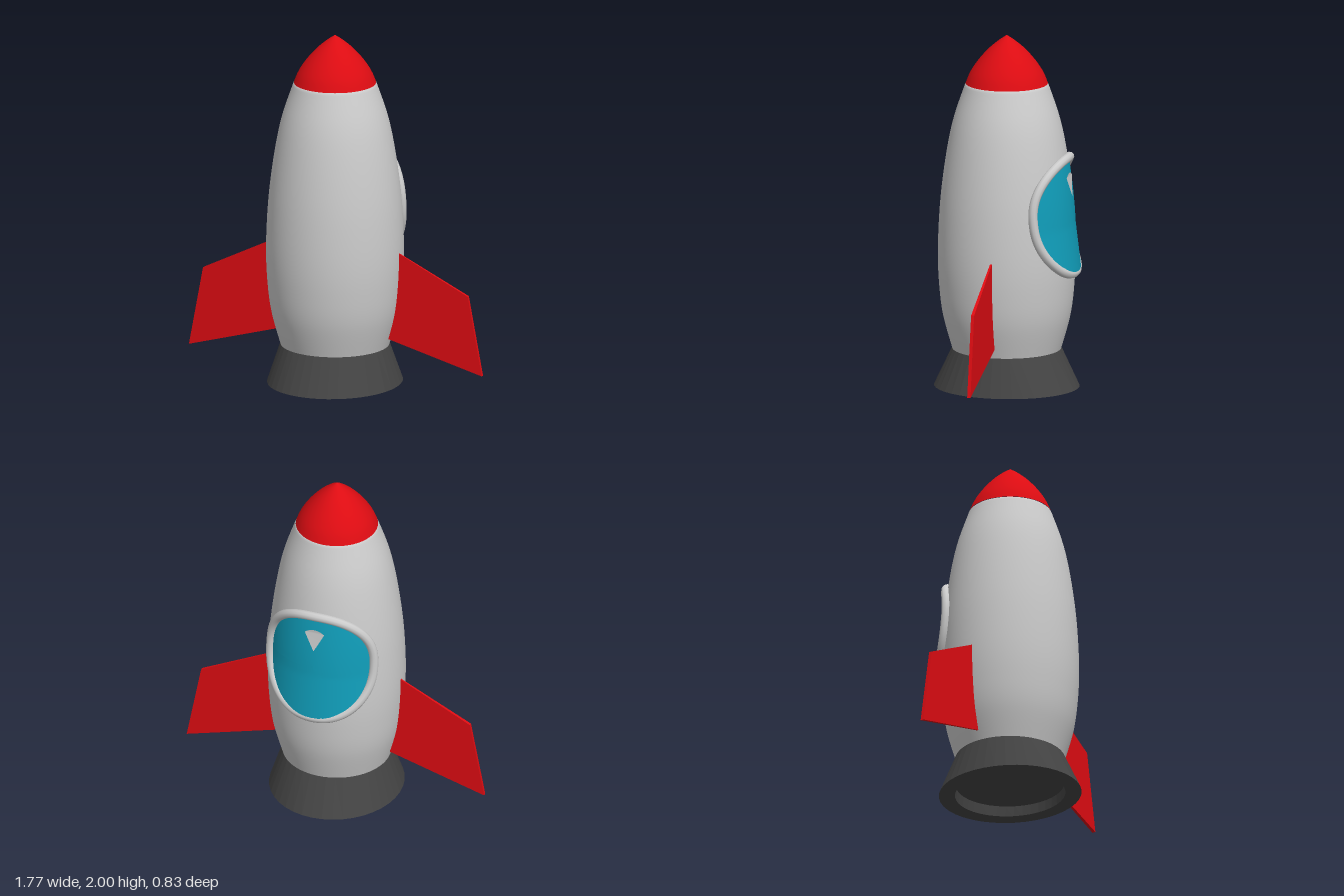
import * as THREE from 'three';

const V2 = (x, y) => new THREE.Vector2(x, y);
const paint = (color, extra = {}) => new THREE.MeshStandardMaterial({ color, ...extra });

// Smooth hull outline, sampled for the lathe and for parts that hug the hull
const hull = new THREE.SplineCurve([
  V2(0.3, 0.2), V2(0.355, 0.4), V2(0.378, 0.58), V2(0.385, 0.77), V2(0.376, 1.0),
  V2(0.356, 1.2), V2(0.325, 1.4), V2(0.29, 1.55), V2(0.236, 1.71),
]).getPoints(64);

function hullRadius(y) {
  const i = Math.max(1, hull.findIndex((p) => p.y >= y));
  const a = hull[i - 1], b = hull[i];
  return a.x + (b.x - a.x) * (y - a.y) / (b.y - a.y);
}

// Rounded window outline: s = 0 at the middle, 1 at the rim
function windowPoint(t, s) {
  const soft = (v) => Math.sign(v) * Math.abs(v) ** 0.88;
  return V2(0.307 * s * soft(Math.cos(t)), 0.99 + 0.325 * s * soft(Math.sin(t)));
}

// Point on the back of the hull, at a given radius
const wrapBack = (p, r) => new THREE.Vector3(p.x, p.y, -Math.sqrt(Math.max(0, r * r - p.x * p.x)));

// Glass is straight from top to bottom and leans out below
const glassRadius = (y) => Math.max(0.415 - 0.119 * (y - 0.68), hullRadius(y) + 0.005);

// Curved patch on the back: a grid between a centre and an outline
function patch(outline, radius, rings, segs) {
  const pos = [], idx = [];
  for (let i = 0; i <= rings; i++) {
    for (let j = 0; j <= segs; j++) {
      const p = outline((j / segs) * Math.PI * 2, i / rings);
      pos.push(...wrapBack(p, radius(p.y)).toArray());
      if (i < rings && j < segs) {
        const a = i * (segs + 1) + j, b = a + segs + 1;
        idx.push(a, a + 1, b, b, a + 1, b + 1);
      }
    }
  }
  const geo = new THREE.BufferGeometry();
  geo.setAttribute('position', new THREE.Float32BufferAttribute(pos, 3));
  geo.setIndex(idx);
  geo.computeVertexNormals();
  return geo;
}

export function createModel() {
  const model = new THREE.Group();
  const rocket = new THREE.Group();
  rocket.name = 'rocket';
  rocket.position.z = 0.008;
  model.add(rocket);

  const red = paint(0xdd0c12);
  const grey = paint(0xcccccc);
  const add = (parent, name, geo, mat) => {
    const mesh = new THREE.Mesh(geo, mat);
    mesh.name = name;
    parent.add(mesh);
    return mesh;
  };

  // Hull with a softly rounded shoulder under the nose
  const shoulder = [V2(0.232, 1.72), V2(0.226, 1.725), V2(0.2, 1.727), V2(0, 1.727)];
  add(rocket, 'hull', new THREE.LatheGeometry([V2(0, 0.2), ...hull, ...shoulder], 64), grey);

  // Nose cone
  const nose = new THREE.SplineCurve([
    V2(0.23, 1.725), V2(0.205, 1.785), V2(0.163, 1.85), V2(0.107, 1.915), V2(0.05, 1.965), V2(0, 2),
  ]).getPoints(24);
  nose[nose.length - 1].x = 0;
  add(rocket, 'noseCone', new THREE.LatheGeometry(nose, 64), red);

  // Engine skirt, recessed below and a little deeper than wide at its foot
  const skirt = new THREE.LatheGeometry(
    [V2(0, 0.06), V2(0.29, 0.06), V2(0.29, 0), V2(0.375, 0), V2(0.306, 0.215), V2(0.28, 0.215)], 40);
  const sp = skirt.attributes.position;
  for (let i = 0; i < sp.count; i++) {
    sp.setZ(i, sp.getZ(i) * (1 + 0.09 * (1 - sp.getY(i) / 0.215)));
  }
  add(rocket, 'engineSkirt', skirt, paint(0x444444, { flatShading: true }));

  // Window on the back: frame, glass and glint
  const porthole = new THREE.Group();
  porthole.name = 'window';
  rocket.add(porthole);
  const rim = [];
  for (let i = 0; i < 64; i++) {
    const p = windowPoint((i / 64) * Math.PI * 2, 1);
    rim.push(wrapBack(p, hullRadius(p.y) + 0.01));
  }
  const path = new THREE.CatmullRomCurve3(rim, true);
  add(porthole, 'windowFrame', new THREE.TubeGeometry(path, 128, 0.026, 10, true), grey);
  add(porthole, 'windowGlass', patch(windowPoint, glassRadius, 12, 64),
    paint(0x109cb8, { side: THREE.DoubleSide }));

  // Glint: a wedge with a rounded top, pointing down
  const wedge = new THREE.Shape();
  wedge.moveTo(0, 1.1);
  wedge.lineTo(0.058, 1.21);
  wedge.quadraticCurveTo(0, 1.255, -0.058, 1.21);
  wedge.closePath();
  const glint = new THREE.ShapeGeometry(wedge, 12);
  const gp = glint.attributes.position;
  for (let i = 0; i < gp.count; i++) {
    const p = V2(gp.getX(i), gp.getY(i));
    gp.setZ(i, wrapBack(p, glassRadius(p.y) + 0.006).z);
  }
  glint.computeVertexNormals();
  add(porthole, 'windowGlint', glint, paint(0xcccccc, { side: THREE.DoubleSide }));

  // Swept side fins, slightly thicker outward
  for (const side of [1, -1]) {
    const outline = [[0.34, 0.792], [0.27, 0.283], [0.885, 0.113], [0.8, 0.565]]
      .map(([x, y]) => V2(side * x, y));
    const fin = new THREE.ExtrudeGeometry(new THREE.Shape(outline), { depth: 1, bevelEnabled: false });
    const fp = fin.attributes.position;
    for (let i = 0; i < fp.count; i++) {
      const thick = 0.008 + 0.018 * (Math.abs(fp.getX(i)) - 0.27);
      fp.setZ(i, 0.003 - (1 - fp.getZ(i)) * thick);
    }
    fin.computeVertexNormals();
    add(model, side > 0 ? 'leftFin' : 'rightFin', fin, red);
  }
  return model;
}
